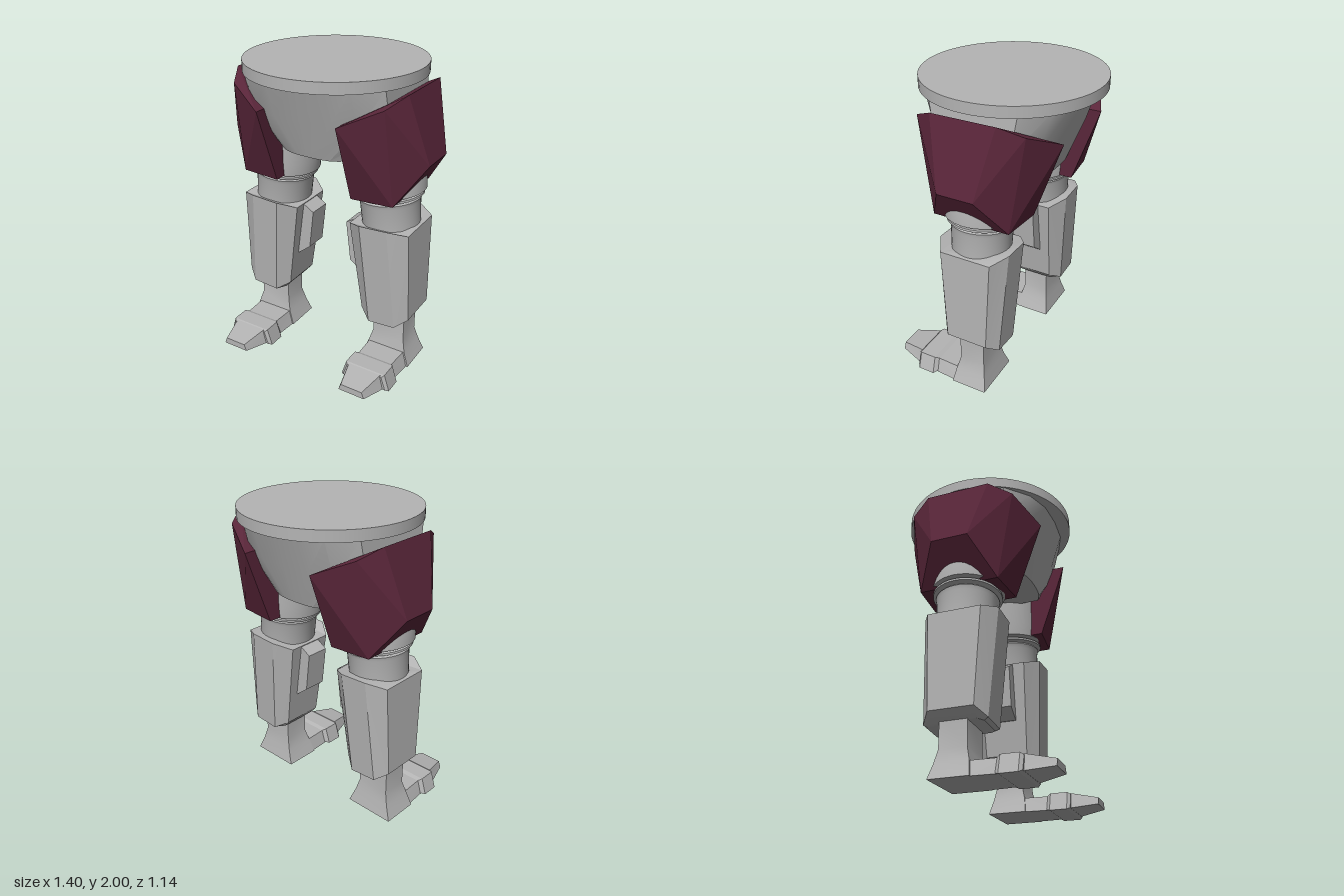
import * as THREE from 'three';
import { toCreasedNormals } from 'three/addons/utils/BufferGeometryUtils.js';
import { ConvexGeometry } from 'three/addons/geometries/ConvexGeometry.js';

const grey = new THREE.MeshStandardMaterial({ color: 0xb4b4b4 });
grey.name = 'light grey';
const maroon = new THREE.MeshStandardMaterial({ color: 0x5a263a });
maroon.name = 'maroon';

// Skin a list of equal-length rings of [x, y, z], cap both ends, face outwards
function loft(rings, crease = 0.4) {
  const n = rings[0].length, pos = [];
  const tri = (a, b, c) => pos.push(...a, ...b, ...c);
  for (let r = 0; r < rings.length - 1; r++) {
    for (let i = 0; i < n; i++) {
      const j = (i + 1) % n, A = rings[r], B = rings[r + 1];
      tri(A[i], A[j], B[j]);
      tri(A[i], B[j], B[i]);
    }
  }
  const last = rings[rings.length - 1];
  for (let i = 1; i < n - 1; i++) {
    tri(rings[0][0], rings[0][i + 1], rings[0][i]);
    tri(last[0], last[i], last[i + 1]);
  }
  // Signed volume tells whether the corners must be reversed
  let vol = 0;
  const a = new THREE.Vector3(), b = new THREE.Vector3(), c = new THREE.Vector3();
  for (let i = 0; i < pos.length; i += 9) {
    a.fromArray(pos, i); b.fromArray(pos, i + 3); c.fromArray(pos, i + 6);
    vol += a.dot(b.cross(c));
  }
  if (vol < 0) {
    for (let i = 0; i < pos.length; i += 9) {
      for (let k = 0; k < 3; k++) {
        [pos[i + 3 + k], pos[i + 6 + k]] = [pos[i + 6 + k], pos[i + 3 + k]];
      }
    }
  }
  const g = new THREE.BufferGeometry();
  g.setAttribute('position', new THREE.Float32BufferAttribute(pos, 3));
  return toCreasedNormals(g, crease);
}

function add(parent, name, geometry, material = grey) {
  const mesh = new THREE.Mesh(geometry, material);
  mesh.name = name;
  parent.add(mesh);
  return mesh;
}

// Mirror geometry in x and restore its winding
function mirrored(geometry) {
  const g = geometry.index ? geometry.toNonIndexed() : geometry.clone();
  g.scale(-1, 1, 1);
  for (const key of ['position', 'normal']) {
    const at = g.attributes[key];
    for (let i = 0; i < at.count; i += 3) {
      for (let k = 0; k < 3; k++) {
        const t = at.getComponent(i + 1, k);
        at.setComponent(i + 1, k, at.getComponent(i + 2, k));
        at.setComponent(i + 2, k, t);
      }
    }
  }
  return g;
}

// Pelvis section: curved front and back, flat sides
function pelvisRing(y, w, d, side) {
  const q = [[w, side], [w * 0.7, side + (d - side) * 0.66], [w * 0.38, side + (d - side) * 0.94], [0, d]];
  const front = [...q, ...q.slice(0, 3).reverse().map(([x, z]) => [-x, z])];
  return [...front, ...front.slice().reverse().map(([x, z]) => [x, -z])].map(([x, z]) => [x, y, z - 0.005]);
}

// Eight-sided shin section from [x, y, z] corners of the front half
const shinRing = (half) => [...half, ...half.slice().reverse().map(([x, y, z]) => [x, y, -z])];

// Four-sided foot section at depth z
const footRing = (z, y0, y1, bottom, top, cx = 0.46) =>
  [[cx - bottom, y0, z], [cx + bottom, y0, z], [cx + top, y1, z], [cx - top, y1, z]];

// Rectangle at height y
const level = (y, w, z0, z1) =>
  [[0.462 - w, y, z0], [0.462 + w, y, z0], [0.462 + w, y, z1], [0.462 - w, y, z1]];

function legParts() {
  const parts = [];

  // Tilted thigh with joint rings and knee sleeve
  const profile = [
    [0, 0.32], [0.225, 0.32], [0.235, 0.1], [0.232, 0.02], [0.2, 0.01], [0.218, 0.002],
    [0.218, -0.012], [0.19, -0.024], [0.2, -0.034], [0.192, -0.06], [0.184, -0.26], [0, -0.26],
  ].map(([r, y]) => new THREE.Vector2(r, y)).reverse();
  const thigh = toCreasedNormals(new THREE.LatheGeometry(profile, 40), 0.5);
  thigh.rotateZ(0.09).translate(0.393, 1.215, -0.003);
  parts.push(['thigh', thigh, grey]);

  // Faceted hip armour
  const corners = [
    [0.59, 1.905, 0.208], [0.515, 1.842, 0.347], [0.27, 1.73, 0.458],
    [0.7, 1.475, 0.118], [0.54, 1.23, 0.255], [0.27, 1.23, 0.28],
  ];
  const points = corners.flatMap(([x, y, z]) =>
    [new THREE.Vector3(x, y, z - 0.006), new THREE.Vector3(x, y, -z - 0.006)]);
  parts.push(['hipArmour', toCreasedNormals(new ConvexGeometry(points), 0.12), maroon]);

  // Shin guard with bevelled lower rim
  parts.push(['shinGuard', loft([
    shinRing([[0.615, 1.02, 0.17], [0.5, 1.05, 0.24], [0.31, 1.04, 0.24], [0.2, 1.0, 0.16]]),
    shinRing([[0.63, 0.4, 0.14], [0.555, 0.348, 0.197], [0.37, 0.335, 0.197], [0.288, 0.385, 0.14]]),
    shinRing([[0.57, 0.345, 0.13], [0.545, 0.335, 0.17], [0.38, 0.325, 0.17], [0.33, 0.335, 0.13]]),
  ]), grey]);

  // Fin on the inner side of the shin
  const fin = [[0.35, 1.0], [0.21, 1.0], [0.128, 0.95], [0.16, 0.68], [0.25, 0.61], [0.38, 0.61]];
  parts.push(['shinFin', loft([0.08, -0.08].map((z) => fin.map(([x, y]) => [x, y, z]))), grey]);

  // Ankle flaring into the heel
  parts.push(['ankle', loft([
    level(0.4, 0.112, -0.09, 0.083), level(0.19, 0.112, -0.09, 0.083),
    level(0.105, 0.135, -0.105, 0.105), level(0.01, 0.172, -0.125, 0.12),
  ]), grey]);

  // Instep, toe joint and tapering toe
  parts.push(['instep', loft([footRing(0.06, 0.01, 0.105, 0.165, 0.13),
    footRing(0.28, 0.01, 0.105, 0.15, 0.12)]), grey]);
  parts.push(['toeJoint', loft([
    footRing(0.255, 0.015, 0.105, 0.15, 0.12), footRing(0.28, 0.004, 0.117, 0.175, 0.14),
    footRing(0.39, 0.004, 0.117, 0.175, 0.14), footRing(0.408, 0.015, 0.105, 0.155, 0.125),
  ]), grey]);
  parts.push(['toe', loft([footRing(0.4, 0.015, 0.115, 0.14, 0.115),
    footRing(0.572, 0.038, 0.082, 0.092, 0.075)]), grey]);
  return parts;
}

export function createModel() {
  const model = new THREE.Group();
  model.name = 'mechanicalLegs';

  // Waist disc
  const disc = add(model, 'waistDisc', new THREE.CylinderGeometry(0.566, 0.566, 0.07, 72));
  disc.position.set(0, 1.965, -0.005);

  // Pelvis narrowing down between the legs
  add(model, 'pelvis', loft([
    pelvisRing(1.935, 0.485, 0.482, 0.28), pelvisRing(1.7, 0.5, 0.402, 0.24), pelvisRing(1.455, 0.2, 0.32, 0.28),
  ], 0.45));

  // Both legs
  const left = new THREE.Group(), right = new THREE.Group();
  left.name = 'leftLeg';
  right.name = 'rightLeg';
  for (const [name, geometry, material] of legParts()) {
    add(left, name, geometry, material);
    add(right, name, mirrored(geometry), material);
  }
  model.add(left, right);
  return model;
}
